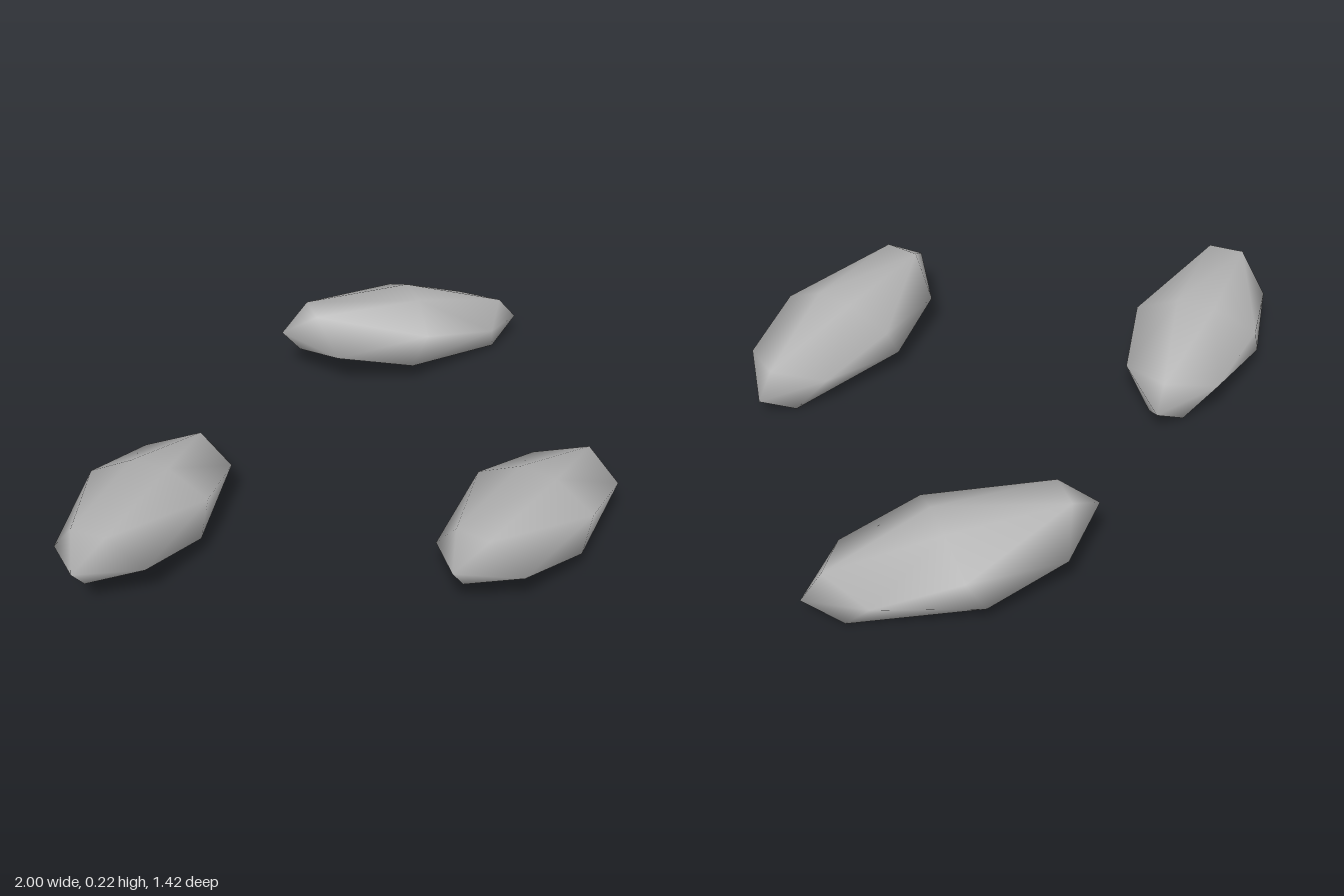
import * as THREE from 'three';
import { ConvexGeometry } from 'three/addons/geometries/ConvexGeometry.js';
import { mergeVertices } from 'three/addons/utils/BufferGeometryUtils.js';

// Half height of a stone, so that its flat underside rests on y = 0
const HALF_HEIGHT = 0.1125;

// One long faceted pebble: a few corners, repeated by side mirroring and by point symmetry
function pebbleGeometry() {
  const corners = [
    [0.412, -0.046, 0],            // tip
    [0.353, 0.027, 0],             // upper shoulder behind the tip
    [0.04, HALF_HEIGHT, 0.058],    // flat top, middle
    [-0.31, HALF_HEIGHT, 0.053],   // flat top, far end
    [0.027, 0.05, 0.187],          // side bulge
    [0.268, 0, 0.142]              // side shoulder
  ];
  const points = [];
  for (const [x, y, z] of corners) {
    for (const side of z === 0 ? [1] : [1, -1]) {
      points.push(new THREE.Vector3(x, y, z * side));
      points.push(new THREE.Vector3(-x, -y, -z * side));
    }
  }
  // Weld the hull so that its normals are smooth
  const hull = new ConvexGeometry(points);
  hull.deleteAttribute('normal');
  const geometry = mergeVertices(hull, 1e-4);
  geometry.computeVertexNormals();
  return geometry;
}

export function createModel() {
  const group = new THREE.Group();
  group.name = 'pebbles';
  const stone = new THREE.MeshStandardMaterial({ color: 0xb4b4b4 });
  stone.name = 'stone grey';
  const geometry = pebbleGeometry();

  // name, x, z, turn about the vertical
  const stones = [
    ['frontPebble', 0.12, 0.52, 0.185],
    ['rightPebble', -0.622, -0.277, 0.4],
    ['leftPebble', 0.624, -0.47, -0.452]
  ];
  for (const [name, x, z, turn] of stones) {
    const mesh = new THREE.Mesh(geometry, stone);
    mesh.name = name;
    mesh.position.set(x, HALF_HEIGHT, z);
    mesh.rotation.y = turn;
    group.add(mesh);
  }
  return group;
}
